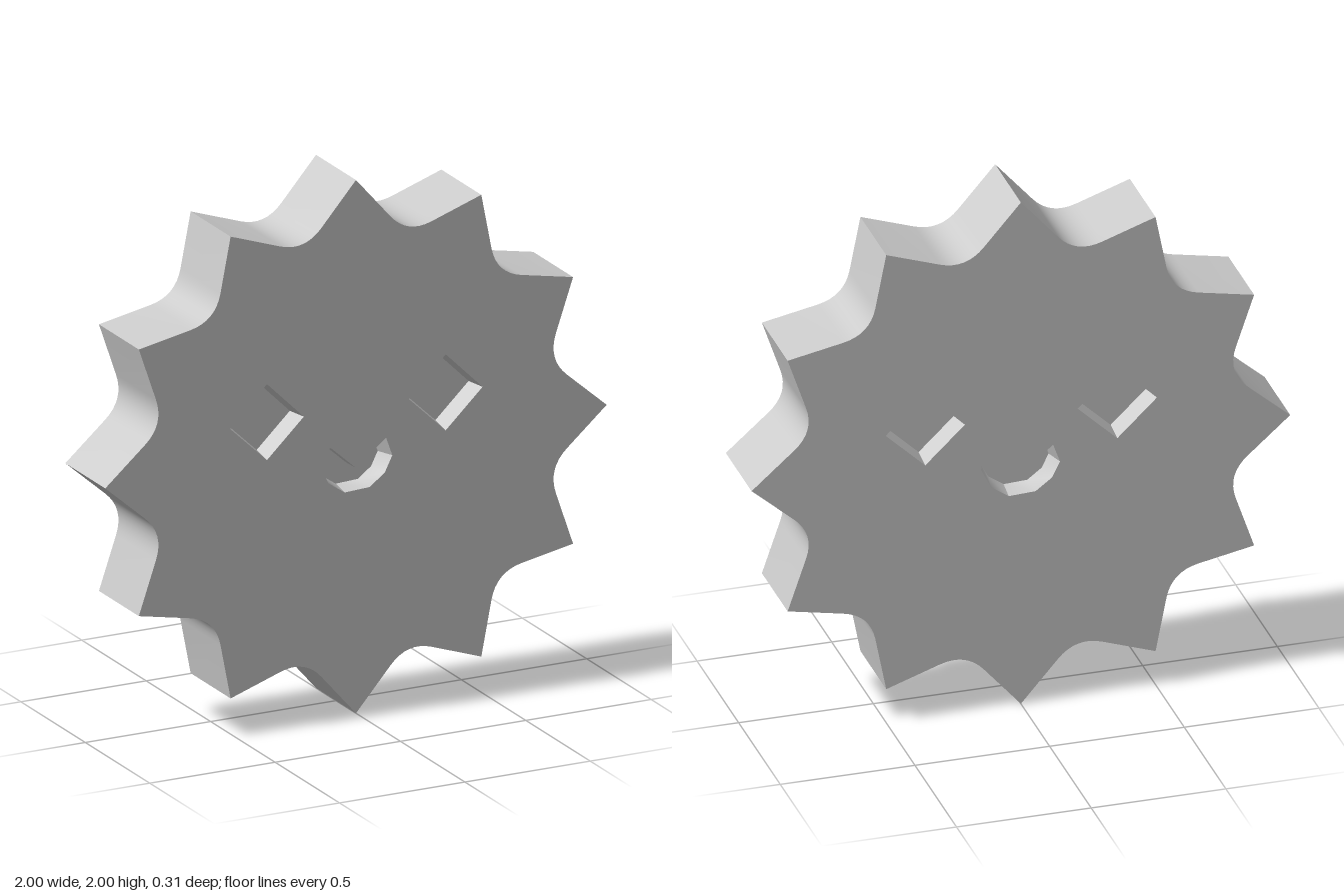
import * as THREE from 'three';
import { toCreasedNormals } from 'three/addons/utils/BufferGeometryUtils.js';

const POINTS = 12;
const HALF = 0.155;      // half the thickness of the star
const POCKET = 0.08;     // depth of eyes and mouth
const material = new THREE.MeshStandardMaterial({ color: 0xcccccc });
const v2 = (x, y) => new THREE.Vector2(x, y);
const polar = (r, deg) => {
  const a = THREE.MathUtils.degToRad(deg);
  return v2(r * Math.cos(a), 1 + r * Math.sin(a));
};

// Star with sharp tips and rounded valleys, counter-clockwise
function starOutline() {
  const path = new THREE.Path();
  const start = polar(1, 0);
  path.moveTo(start.x, start.y);
  for (let i = 0; i < POINTS; i++) {
    const valley = (i + 0.5) * 360 / POINTS;
    const a = polar(0.853, valley - 5.7), c = polar(0.792, valley);
    const b = polar(0.853, valley + 5.7), tip = polar(1, valley + 15);
    path.lineTo(a.x, a.y);
    path.quadraticCurveTo(c.x, c.y, b.x, b.y);
    path.lineTo(tip.x, tip.y);
  }
  return path.getPoints(8).slice(0, -1);
}

// Closed wall between two matching rings; faces outward for counter-clockwise rings
function wall(ringA, zA, ringB, zB) {
  const pos = [];
  const n = ringA.length;
  for (let i = 0; i < n; i++) {
    const j = (i + 1) % n;
    const a = [ringA[i].x, ringA[i].y, zA], b = [ringB[i].x, ringB[i].y, zB];
    const c = [ringB[j].x, ringB[j].y, zB], d = [ringA[j].x, ringA[j].y, zA];
    pos.push(...a, ...b, ...c, ...a, ...c, ...d);
  }
  const g = new THREE.BufferGeometry();
  g.setAttribute('position', new THREE.Float32BufferAttribute(pos, 3));
  return toCreasedNormals(g, 0.6);
}

function add(group, name, geometry) {
  const mesh = new THREE.Mesh(geometry, material);
  mesh.name = name;
  group.add(mesh);
  return mesh;
}

// Clockwise rims of the recesses, with the centre their floors shrink towards
const diamond = (x) => [v2(x, 1.29), v2(x + 0.147, 1.145), v2(x, 1.005), v2(x - 0.147, 1.145)];
const recesses = [
  { name: 'leftEye', rim: diamond(0.358), centre: v2(0.358, 1.145), taper: 0.9 },
  { name: 'rightEye', rim: diamond(-0.355), centre: v2(-0.355, 1.145), taper: 0.9 },
  {
    name: 'mouth', centre: v2(0, 0.9), taper: 0.88,
    rim: [[-0.14, 1.0], [-0.1, 1.01], [0, 0.92], [0.12, 1.015], [0.145, 0.945], [0.115, 0.885],
      [0.055, 0.84], [-0.045, 0.835], [-0.11, 0.88], [-0.148, 0.955]].map(([x, y]) => v2(x, y)),
  },
];

// One face plate with its sunken eyes and mouth, facing +z
function makeFace(outline) {
  const face = new THREE.Group();
  const shape = new THREE.Shape(outline);
  shape.holes = recesses.map((r) => new THREE.Path(r.rim));
  add(face, 'facePlate', new THREE.ShapeGeometry(shape)).position.z = HALF;
  for (const { name, rim, centre, taper } of recesses) {
    const floor = rim.map((p) => p.clone().sub(centre).multiplyScalar(taper).add(centre));
    add(face, name + 'Wall', wall(rim, HALF, floor, HALF - POCKET));
    add(face, name + 'Floor', new THREE.ShapeGeometry(new THREE.Shape(floor))).position.z = HALF - POCKET;
  }
  return face;
}

export function createModel() {
  const model = new THREE.Group();
  model.name = 'smilingStar';
  const outline = starOutline();
  add(model, 'starRim', wall(outline, HALF, outline, -HALF));

  const front = makeFace(outline);
  front.name = 'frontFace';
  const back = makeFace(outline);
  back.name = 'backFace';
  back.rotation.y = Math.PI;
  model.add(front, back);
  return model;
}
